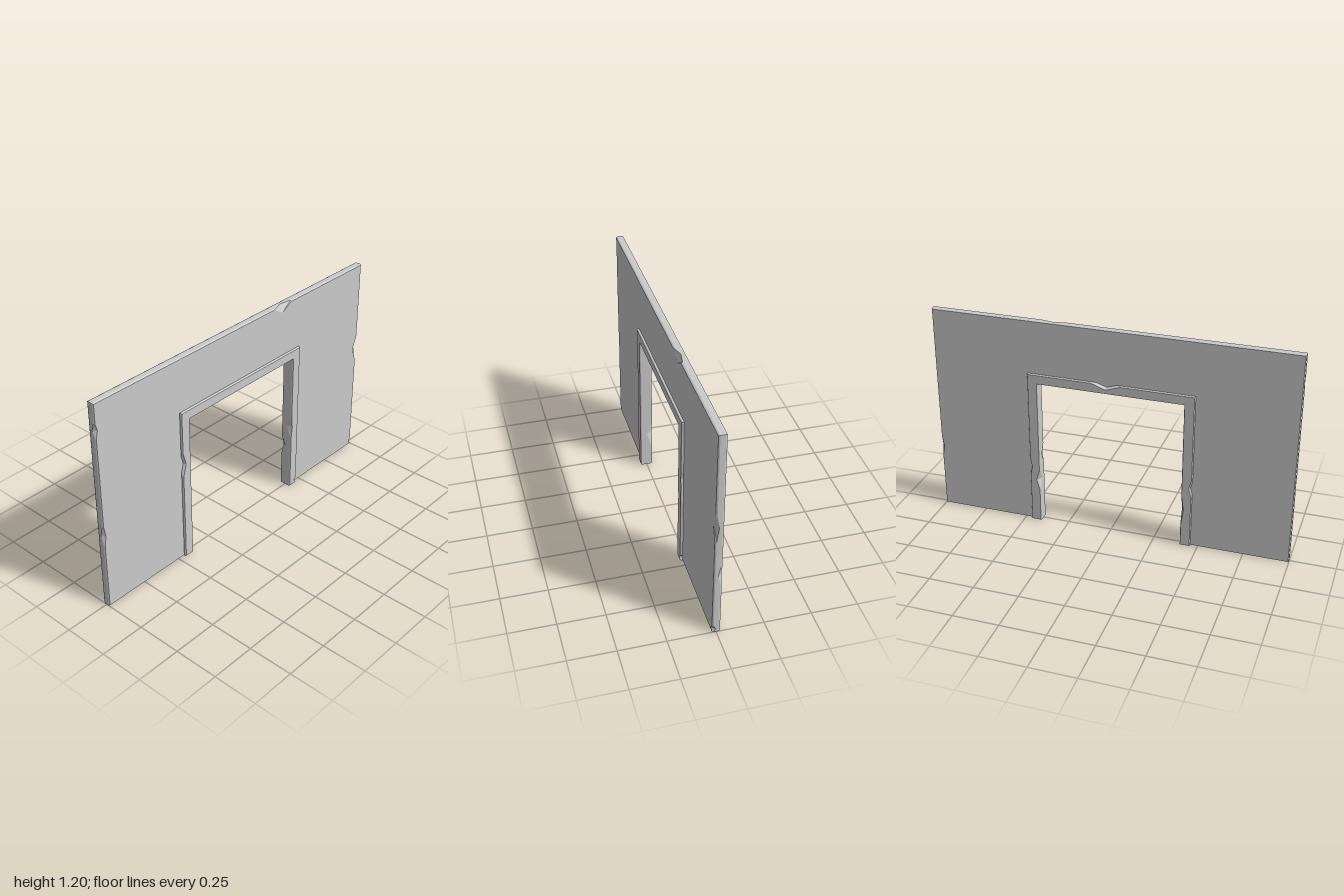
import * as THREE from 'three';

// Flat slab with bevelled edges. A chip bites into one edge of the outline:
// [edge index, distance along the edge, half length, depth, side (+1 front, -1 back)]
function chippedSlab(corners, halfDepth, bevel, chips) {
  const n = corners.length;
  const inward = corners.map((c, i) => {
    const d = corners[(i + 1) % n].clone().sub(c).normalize();
    return new THREE.Vector2(-d.y, d.x);
  });

  // Outline points, each with its inward direction and any chip
  const outline = [];
  corners.forEach((c, e) => {
    outline.push({ p: c, inset: inward[e].clone().add(inward[(e + n - 1) % n]) });
    const dir = corners[(e + 1) % n].clone().sub(c).normalize();
    const add = (at, depth, side) => outline.push({
      p: c.clone().addScaledVector(dir, at), inset: inward[e], depth, side });
    chips.filter(k => k[0] === e).sort((a, b) => a[1] - b[1]).forEach(([, at, half, depth, side]) => {
      add(at - half, 0, 0);
      add(at, depth, side);
      add(at + half, 0, 0);
    });
  });

  // Four rings from front to back: face, shoulder, shoulder, face
  const face = side => outline.map(o => {
    const q = o.p.clone().addScaledVector(o.inset, bevel + (o.side === side ? o.depth : 0));
    return new THREE.Vector3(q.x, q.y, side * halfDepth);
  });
  const shoulder = side => outline.map(o => new THREE.Vector3(
    o.p.x, o.p.y, side * (o.side === side ? 0.001 : halfDepth - bevel * 2)));
  const rings = [face(1), shoulder(1), shoulder(-1), face(-1)];

  const out = [];
  const tri = (...v) => v.forEach(p => out.push(p.x, p.y, p.z));
  for (let r = 0; r < 3; r++) {
    outline.forEach((_, i) => {
      const j = (i + 1) % outline.length;
      const a = rings[r][i], b = rings[r][j], c = rings[r + 1][j], d = rings[r + 1][i];
      tri(d, c, b);
      tri(d, b, a);
    });
  }
  const cap = ring => THREE.ShapeUtils.triangulateShape(ring.map(v => new THREE.Vector2(v.x, v.y)), []);
  cap(rings[0]).forEach(([a, b, c]) => tri(rings[0][a], rings[0][b], rings[0][c]));
  cap(rings[3]).forEach(([a, b, c]) => tri(rings[3][a], rings[3][c], rings[3][b]));

  const geometry = new THREE.BufferGeometry();
  geometry.setAttribute('position', new THREE.Float32BufferAttribute(out, 3));
  geometry.computeVertexNormals();
  return geometry;
}

// Doorway outline, counter-clockwise from the lower left corner
function archOutline(outerX, top, innerX, innerTop) {
  return [[-outerX, 0], [-innerX, 0], [-innerX, innerTop], [innerX, innerTop],
    [innerX, 0], [outerX, 0], [outerX, top], [-outerX, top]]
    .map(([x, y]) => new THREE.Vector2(x, y));
}

export function createModel() {
  const group = new THREE.Group();
  group.name = 'doorwayWall';
  const material = new THREE.MeshStandardMaterial({ color: 0xcccccc, flatShading: true });

  // Wall panel; its opening edge is buried inside the door frame
  const wall = new THREE.Mesh(chippedSlab(archOutline(1, 1.2, 0.43, 0.87), 0.021, 0.004, [
    [5, 0.02, 0.018, 0.015, 1], [5, 0.37, 0.06, 0.012, -1], [5, 0.67, 0.08, 0.03, 1],
    [6, 0.68, 0.07, 0.04, 1],
    [7, 0.15, 0.04, 0.01, 1], [7, 0.76, 0.06, 0.01, 1],
  ]), material);
  wall.name = 'wallPanel';

  // Thicker door frame around the opening
  const frame = new THREE.Mesh(chippedSlab(archOutline(0.46, 0.9, 0.403, 0.845), 0.034, 0.003, [
    [1, 0.22, 0.09, 0.012, -1],
    [3, 0.44, 0.06, 0.007, 1], [3, 0.585, 0.06, 0.018, -1],
    [5, 0.02, 0.018, 0.015, 1], [5, 0.34, 0.05, 0.01, -1], [5, 0.55, 0.04, 0.006, 1],
    [6, 0.44, 0.08, 0.028, -1],
    [7, 0.31, 0.07, 0.02, 1], [7, 0.54, 0.05, 0.014, -1],
  ]), material);
  frame.name = 'doorFrame';

  group.add(wall, frame);
  return group;
}
